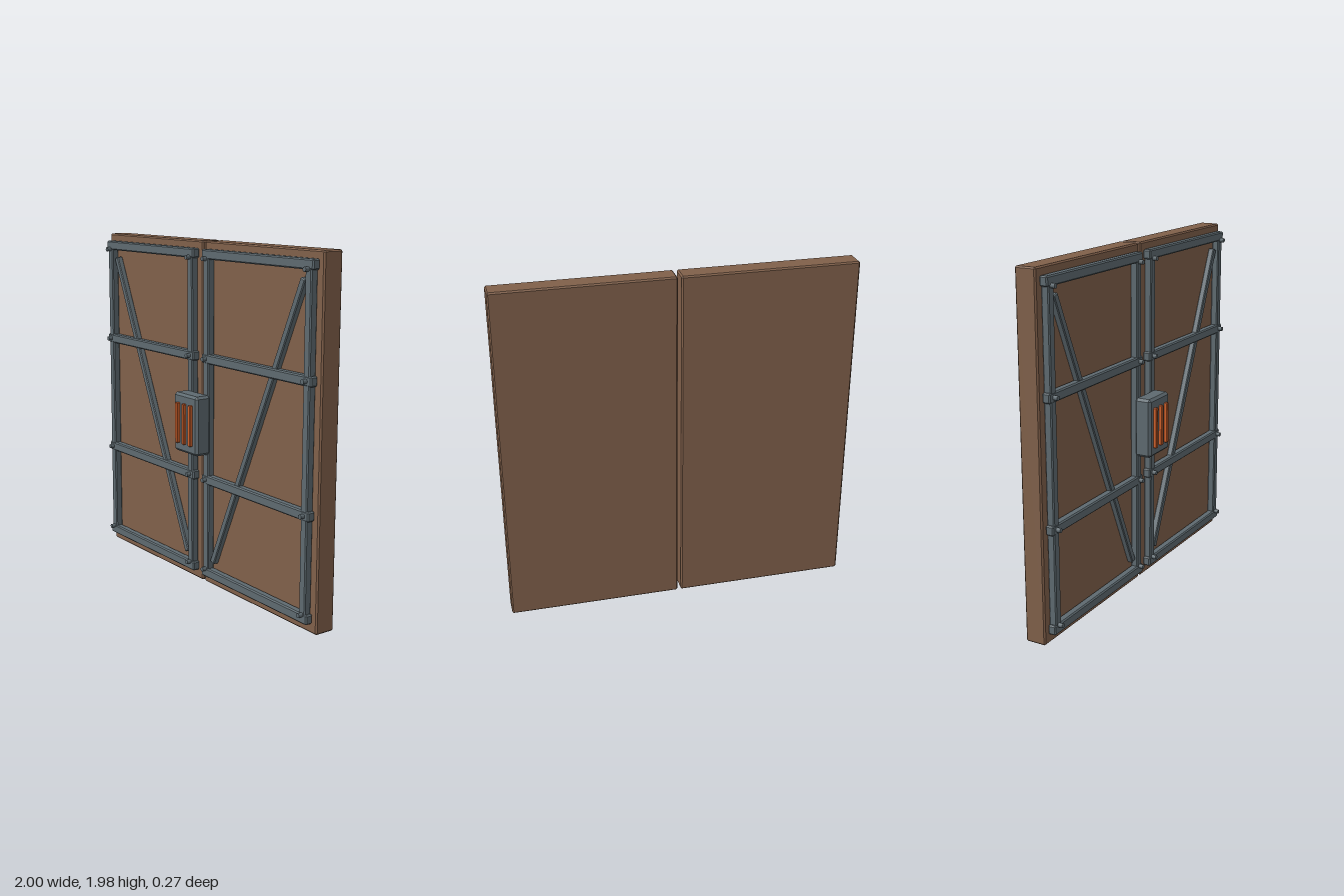
import * as THREE from 'three';
import { ConvexGeometry } from 'three/addons/geometries/ConvexGeometry.js';

const wood = new THREE.MeshStandardMaterial({ name: 'brown panel', color: 0x80604a });
const steel = new THREE.MeshStandardMaterial({ name: 'grey steel', color: 0x5e6a70 });
const orange = new THREE.MeshStandardMaterial({ name: 'orange slot', color: 0xcc5f2a });

// Box with every edge chamfered by c
function chamferBox(w, h, d, c) {
  const pts = [];
  for (const sx of [-1, 1]) for (const sy of [-1, 1]) for (const sz of [-1, 1]) {
    const x = w / 2, y = h / 2, z = d / 2;
    pts.push(
      new THREE.Vector3(sx * x, sy * (y - c), sz * (z - c)),
      new THREE.Vector3(sx * (x - c), sy * y, sz * (z - c)),
      new THREE.Vector3(sx * (x - c), sy * (y - c), sz * z));
  }
  return new ConvexGeometry(pts);
}

function add(parent, name, geometry, material, x, y, z) {
  const mesh = new THREE.Mesh(geometry, material);
  mesh.name = name;
  mesh.position.set(x, y, z);
  parent.add(mesh);
  return mesh;
}

// One door leaf; side is +1 for the model's left, -1 for its right
function makeLeaf(side) {
  const leaf = new THREE.Group();
  leaf.name = side > 0 ? 'leftDoor' : 'rightDoor';
  const cx = side * 0.505;
  add(leaf, 'panel', chamferBox(0.99, 1.98, 0.12, 0.008), wood, cx, 0.99, -0.075);

  // Horizontal rails
  for (const y of [0.083, 0.638, 1.334, 1.911])
    add(leaf, 'rail', chamferBox(0.93, 0.054, 0.046, 0.007), steel, cx, y, 0.008);

  // Upright posts and their bolts
  for (const x of [cx - 0.427, cx + 0.427]) {
    add(leaf, 'post', chamferBox(0.048, 1.81, 0.044, 0.006), steel, x, 0.997, 0.007);
    for (const y of [0.105, 0.638, 1.334, 1.888]) {
      const bolt = add(leaf, 'bolt', new THREE.CylinderGeometry(0.013, 0.013, 0.035, 8), steel, x, y, 0.0375);
      bolt.rotation.x = Math.PI / 2;
    }
  }

  // Diagonal brace from the upper outer to the lower inner corner
  const dx = 0.755, dy = 1.685;
  const brace = add(leaf, 'brace', chamferBox(0.038, Math.hypot(dx, dy), 0.036, 0.005), steel, side * 0.503, 0.995, 0.002);
  brace.rotation.z = -side * Math.atan2(dx, dy);
  return leaf;
}

export function createModel() {
  const model = new THREE.Group();
  model.name = 'doubleDoor';
  model.add(makeLeaf(1), makeLeaf(-1));

  // Lock box across the gap, with three raised bars
  const lock = new THREE.Group();
  lock.name = 'lock';
  add(lock, 'lockBox', chamferBox(0.225, 0.34, 0.1, 0.014), steel, 0, 0.96, 0.066);
  for (const x of [-0.062, 0, 0.062])
    add(lock, 'lockBar', chamferBox(0.023, 0.234, 0.03, 0.003), orange, x, 0.96, 0.12);
  model.add(lock);
  return model;
}
